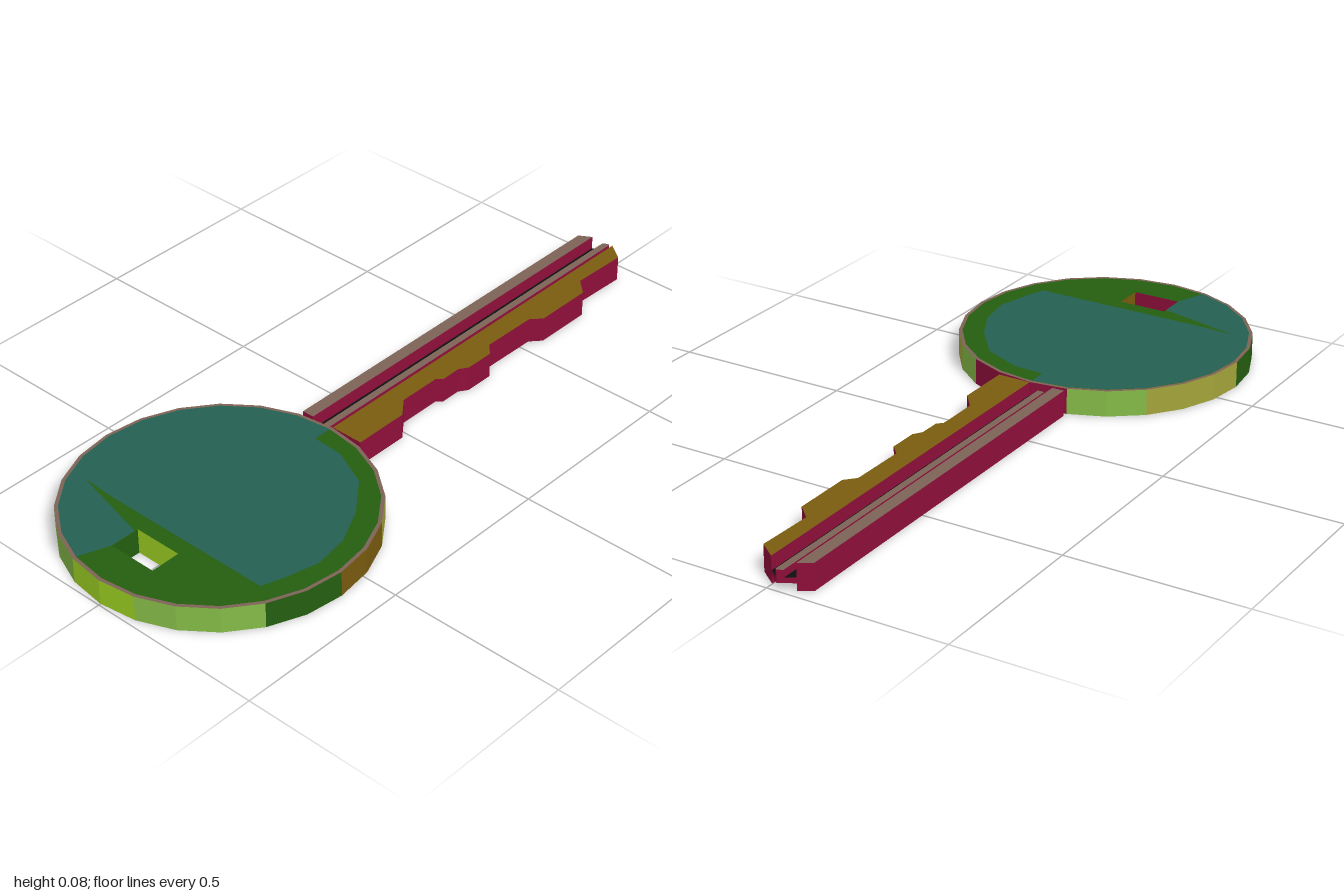
import * as THREE from 'three';

const H = 0.073, R = 0.407, INNER = 0.397, CZ = 0.588, STEP = Math.PI / 12;

const mat = (name, color) => {
  const m = new THREE.MeshStandardMaterial({ color });
  m.name = name;
  return m;
};

export function createModel() {
  const teal = mat('teal', 0x245f52), green = mat('dark green', 0x245e0f);
  const brown = mat('ochre brown', 0x7a5c10), crimson = mat('crimson', 0x8f0f3a);
  const taupe = mat('taupe', 0x7d6356), black = mat('black', 0x0f0f10);
  const lime = mat('lime', 0x9ccf22), sage = mat('light green', 0x86bc48);
  const olive = mat('olive', 0xa3a43a);

  const key = new THREE.Group();
  key.name = 'key';

  const add = (parent, name, geo, material) => {
    const mesh = new THREE.Mesh(geo, material);
    mesh.name = name;
    parent.add(mesh);
    return mesh;
  };
  // plan outline given as [x, z] pairs
  const plan = pts => new THREE.Shape(pts.map(([x, z]) => new THREE.Vector2(x, -z)));
  const prism = (name, pts, y0, y1, cap, side) => {
    const geo = new THREE.ExtrudeGeometry(plan(pts), { depth: y1 - y0, bevelEnabled: false });
    geo.rotateX(-Math.PI / 2).translate(0, y0, 0);
    return add(key, name, geo, [cap, side]);
  };
  const rimPoint = k => [INNER * Math.sin(k * STEP), CZ + INNER * Math.cos(k * STEP)];

  // Round head: faceted edge in coloured runs [first facet, facet count, colour]
  const head = new THREE.Group();
  head.name = 'head';
  head.position.y = H / 2;
  key.add(head);
  const runs = [[-1, 2, lime], [1, 3, sage], [4, 2, green], [6, 2, brown], [8, 1, olive], [9, 1, sage],
    [10, 3, crimson], [13, 2, sage], [15, 3, olive], [18, 2, green], [20, 3, sage]];
  for (const [k, n, m] of runs) {
    const geo = new THREE.CylinderGeometry(R, R, H, n, 1, true, k * STEP, n * STEP).toNonIndexed();
    geo.computeVertexNormals();
    add(head, 'headEdge', geo.translate(0, 0, CZ), m);
  }

  // Slot walls
  const slotX = 0.07, slotA = 0.80, slotB = 0.885, slotC = (slotA + slotB) / 2;
  const walls = [[0, slotA, 0, 2 * slotX, lime], [0, slotB, Math.PI, 2 * slotX, crimson],
    [-slotX, slotC, Math.PI / 2, slotB - slotA, green], [slotX, slotC, -Math.PI / 2, slotB - slotA, brown]];
  for (const [x, z, turn, width, m] of walls) {
    const wall = add(head, 'slotWall', new THREE.PlaneGeometry(width, H), m);
    wall.position.set(x, 0, z);
    wall.rotation.y = turn;
  }

  // Two-tone faces, the lower one being the upper one turned over
  const panel = [];
  for (let k = 12; k <= 23; k++) panel.push(rimPoint(k));
  panel.push([-slotX, slotB], [-slotX, 0.81], [-0.31, 0.75], [-0.2, 0.755], [0.3, 0.755], [0.32, 0.7],
    [0.345, 0.6], [0.33, 0.5], [0.28, 0.4], [0.2, 0.3], [0.09, 0.25], [0, 0.245]);
  const addFace = (name, base, accent, turn) => {
    const face = new THREE.Group();
    face.name = name;
    face.rotation.z = turn;
    const disc = plan(Array.from({ length: 24 }, (_, k) => rimPoint(k)));
    disc.holes.push(plan([[-slotX, slotA], [slotX, slotA], [slotX, slotB], [-slotX, slotB]]));
    const lay = (geo, y, z = 0) => geo.rotateX(-Math.PI / 2).translate(0, y, z);
    add(face, 'faceBase', lay(new THREE.ShapeGeometry(disc), H / 2), base);
    add(face, 'facePanel', lay(new THREE.ShapeGeometry(plan(panel)), H / 2 + 0.001), accent);
    add(face, 'faceRim', lay(new THREE.RingGeometry(INNER, R, 24, 1), H / 2, CZ), taupe);
    head.add(face);
  };
  addFace('topFace', green, teal, 0);
  addFace('bottomFace', teal, green, Math.PI);

  // Blade: long strips that share one pointed tip
  const START = 0.18;
  const tip = x => (x < -0.03 ? -1 - (x + 0.03) * 0.6 : -1 + (x + 0.03) * 0.75);
  const strip = (name, x0, x1, y0, y1, cap) => {
    const end = [[x1, tip(x1)], [x0, tip(x0)]];
    if (x0 < -0.03 && x1 > -0.03) end.splice(1, 0, [-0.03, -1]);
    prism(name, [[x0, START], [x1, START], ...end], y0, y1, cap, crimson);
  };
  strip('bladeSpine', -0.105, -0.07, 0, H, taupe);
  strip('grooveLeft', -0.07, -0.045, 0.02, 0.035, black);
  strip('grooveRidge', -0.045, -0.025, 0.02, 0.055, taupe);
  strip('grooveRight', -0.025, 0, 0.02, 0.035, black);

  // Cut edge with its notches
  const cuts = [[0.095, START], [0.095, 0.02], [0.055, -0.03], [0.055, -0.155], [0.07, -0.17], [0.07, -0.23],
    [0.086, -0.255], [0.086, -0.34], [0.058, -0.37], [0.06, -0.535], [0.087, -0.565], [0.087, -0.735],
    [0.045, -0.775], [0.05, -0.94]];
  prism('bladeTeeth', [[0, START], ...cuts, [0, tip(0)]], 0, H, brown, crimson);

  return key;
}
